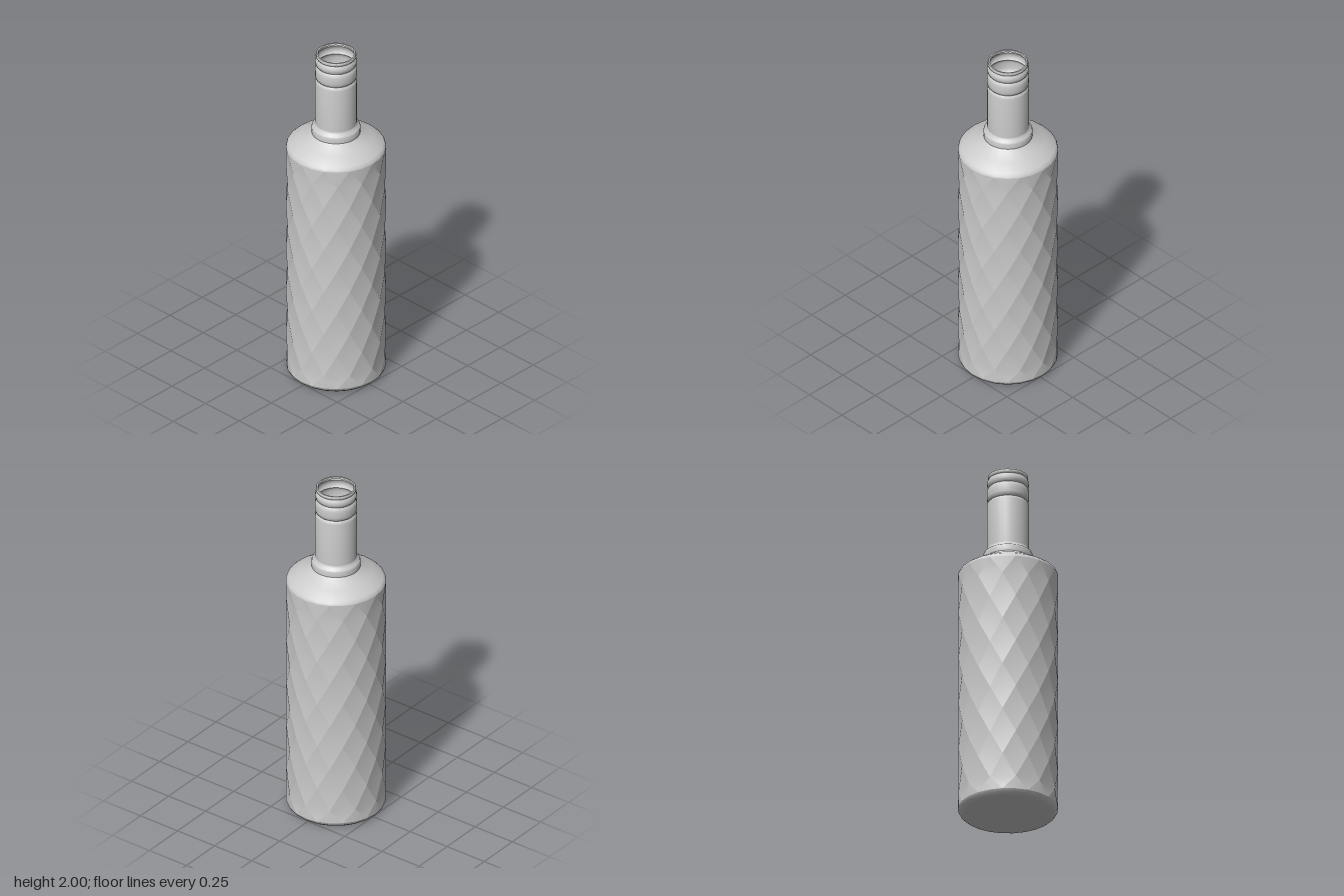
import * as THREE from 'three';
import { toCreasedNormals, mergeVertices } from 'three/addons/utils/BufferGeometryUtils.js';

const SIDES = 24, R = 0.27, DENT = 0.258;
const FIRST = 0.105, STEP = 0.134, ROWS = 10, BOTTOM = 0.03, TOP = 1.41;

const glass = new THREE.MeshStandardMaterial({ color: 0xcccccc, side: THREE.DoubleSide });

// Turned part from a list of [radius, height], going upwards on the outside
function turned(name, profile) {
  const points = profile.map(([r, y]) => new THREE.Vector2(r, y));
  const geometry = toCreasedNormals(new THREE.LatheGeometry(points, SIDES), 0.8);
  const mesh = new THREE.Mesh(geometry, glass);
  mesh.name = name;
  return mesh;
}

// Point on the body wall; rows beyond the pattern fall on its plain end rings
function wallPoint(col, row, r = R) {
  const a = (col / SIDES) * Math.PI * 2;
  const y = row < 0 ? BOTTOM : row >= ROWS ? TOP : FIRST + STEP * row;
  return [r * Math.sin(a), y, r * Math.cos(a)];
}

// Geometry from triangles, smooth inside each patch and creased between patches
function patch(triangles) {
  const g = new THREE.BufferGeometry();
  g.setAttribute('position', new THREE.Float32BufferAttribute(triangles.flat(2), 3));
  const smooth = mergeVertices(g);
  smooth.computeVertexNormals();
  return smooth.toNonIndexed();
}

// Wall of hollowed diamonds, every second column shifted by one row
function diamondWall() {
  const positions = [], normals = [];
  const add = (triangles) => {
    const g = patch(triangles);
    positions.push(...g.attributes.position.array);
    normals.push(...g.attributes.normal.array);
  };
  for (let row = 0; row < ROWS; row++) {
    for (let col = 0; col < SIDES; col++) {
      if ((row + col) % 2 === 0) continue;
      const c = wallPoint(col, row, DENT);
      const ring = [wallPoint(col + 1, row), wallPoint(col, row + 1),
        wallPoint(col - 1, row), wallPoint(col, row - 1)];
      add(ring.map((p, i) => [c, p, ring[(i + 1) % 4]]));
    }
  }
  // Plain triangles that close the pattern at the bottom and top
  for (let col = 0; col < SIDES; col++) {
    if (col % 2 === 0) {
      const tip = wallPoint(col, 0), mid = wallPoint(col, -1);
      add([[tip, wallPoint(col - 1, -1), mid], [tip, mid, wallPoint(col + 1, -1)]]);
    } else {
      const tip = wallPoint(col, ROWS - 1), mid = wallPoint(col, ROWS);
      add([[tip, mid, wallPoint(col - 1, ROWS)], [tip, wallPoint(col + 1, ROWS), mid]]);
    }
  }
  const g = new THREE.BufferGeometry();
  g.setAttribute('position', new THREE.Float32BufferAttribute(positions, 3));
  g.setAttribute('normal', new THREE.Float32BufferAttribute(normals, 3));
  const mesh = new THREE.Mesh(g, glass);
  mesh.name = 'diamondBody';
  return mesh;
}

export function createModel() {
  const bottle = new THREE.Group();
  bottle.name = 'bottle';

  bottle.add(turned('base', [
    [0, 0.008], [0.2, 0.006], [0.235, 0], [0.25, 0.003], [0.263, 0.014], [R, BOTTOM],
  ]));
  bottle.add(diamondWall());

  // Sloping shoulder with the raised collar at its top
  bottle.add(turned('shoulder', [
    [R, TOP], [0.266, 1.422], [0.255, 1.432], [0.2, 1.465], [0.14, 1.497], [0.132, 1.505],
  ]));
  bottle.add(turned('collar', [
    [0.132, 1.505], [0.133, 1.535], [0.129, 1.545], [0.118, 1.552], [0.113, 1.565],
  ]));

  // Neck, rounded finish rings and open lip
  bottle.add(turned('neck', [
    [0.113, 1.565], [0.113, 1.825], [0.111, 1.837], [0.104, 1.845],
  ]));
  bottle.add(turned('lowerRing', [
    [0.104, 1.845], [0.111, 1.853], [0.114, 1.868], [0.114, 1.905], [0.111, 1.92], [0.104, 1.929],
  ]));
  bottle.add(turned('upperRing', [
    [0.104, 1.929], [0.11, 1.937], [0.113, 1.953], [0.11, 1.97], [0.104, 1.979],
  ]));
  bottle.add(turned('lip', [
    [0.104, 1.979], [0.109, 1.985], [0.109, 1.996], [0.106, 2], [0.098, 2], [0.096, 1.99],
  ]));
  return bottle;
}
